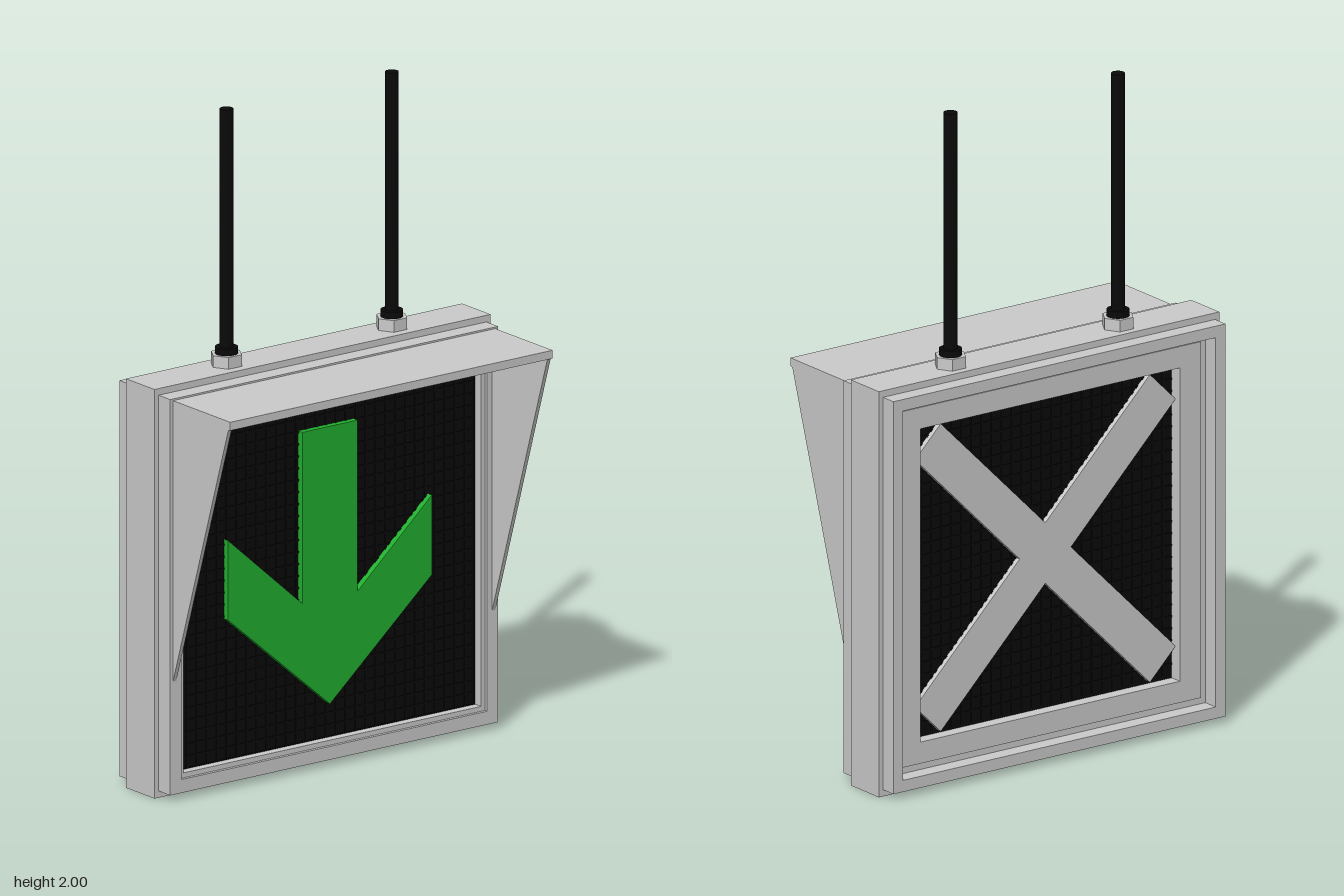
import * as THREE from 'three';
import { mergeGeometries } from 'three/addons/utils/BufferGeometryUtils.js';

const grey = new THREE.MeshStandardMaterial({ color: 0xcccccc, flatShading: true });
const black = new THREE.MeshStandardMaterial({ color: 0x0a0a0a });
const green = new THREE.MeshStandardMaterial({ color: 0x22b030 });
const MID = 0.615; // height of the housing centre

export function createModel() {
  const model = new THREE.Group();

  const add = (name, geometry, material, x = 0, y = 0, z = 0) => {
    const mesh = new THREE.Mesh(geometry, material);
    mesh.name = name;
    mesh.position.set(x, y, z);
    model.add(mesh);
    return mesh;
  };
  const box = (name, material, w, h, z0, z1, x = 0, y = MID) =>
    add(name, new THREE.BoxGeometry(w, h, z1 - z0), material, x, y, (z0 + z1) / 2);
  const polygon = (points) => new THREE.Shape(points.map(([x, y]) => new THREE.Vector2(x, y)));
  const rect = (w, h) => polygon([[-w, -h], [w, -h], [w, h], [-w, h]]);
  const extrude = (shape, depth) =>
    new THREE.ExtrudeGeometry(shape, { depth, bevelEnabled: false });

  // Rectangular ring given by outer and inner half sizes, between z0 and z1
  const frame = (name, [ow, oh], [iw, ih], z0, z1) => {
    const shape = rect(ow, oh);
    shape.holes.push(rect(iw, ih));
    return add(name, extrude(shape, z1 - z0), grey, 0, MID, z0);
  };

  // Housing: wide middle casing with a stepped frame on each face
  frame('casing', [0.61, 0.615], [0.54, 0.54], -0.205, -0.07);
  frame('frontFrame', [0.595, 0.595], [0.555, 0.555], -0.07, -0.015);
  frame('frontInnerFrame', [0.555, 0.555], [0.54, 0.54], -0.07, -0.025);
  frame('backFrame', [0.595, 0.595], [0.56, 0.56], -0.255, -0.205);
  frame('backInnerFrame', [0.54, 0.54], [0.465, 0.475], -0.21, -0.165);

  // Dark display panels on both sides, with a fine raised grid
  box('displayCore', black, 1.08, 1.08, -0.17, -0.055);
  const displayGrid = (name, half, z) => {
    const ribs = [];
    const step = 0.036;
    const count = Math.floor(half / step);
    for (let i = -count; i <= count; i++) {
      ribs.push(new THREE.BoxGeometry(0.006, half * 2, 0.004).translate(i * step, 0, 0));
      ribs.push(new THREE.BoxGeometry(half * 2, 0.006, 0.004).translate(0, i * step, 0));
    }
    add(name, mergeGeometries(ribs), black, 0, MID, z);
  };
  displayGrid('frontDisplayGrid', 0.54, -0.054);
  displayGrid('backDisplayGrid', 0.465, -0.171);

  // Green downward arrow on the front
  const arrow = polygon([
    [0, 0.18], [0.37, 0.5], [0.37, 0.74], [0.1, 0.5], [0.1, 1.015],
    [-0.1, 1.015], [-0.1, 0.5], [-0.37, 0.74], [-0.37, 0.5],
  ]);
  add('arrow', extrude(arrow, 0.02), green, 0, 0, -0.055);

  // Diagonal cross on the back
  for (const side of [-1, 1]) {
    const bar = box('crossBar', grey, 1.19, 0.13, -0.187, -0.165);
    bar.rotation.z = side * Math.PI / 4;
  }

  // Sun hood: top plate, turned-down front lip and tapering cheeks
  box('hoodTop', grey, 1.17, 0.012, -0.015, 0.255, 0, 1.199);
  box('hoodLip', grey, 1.17, 0.02, 0.245, 0.255, 0, 1.19);
  const cheek = polygon([
    [-0.015, 0.36], [0.245, 1.175], [0.255, 1.185], [0.255, 1.205], [-0.015, 1.205],
  ]);
  for (const side of [-1, 1]) {
    const mesh = add('hoodCheek', extrude(cheek, 0.012), grey, side > 0 ? 0.573 : -0.585);
    // Turn the profile so its first axis runs along z
    mesh.geometry.rotateY(-Math.PI / 2).translate(0.012, 0, 0);
  }

  // Hanging rods with hexagonal nuts and collars
  for (const x of [-0.295, 0.305]) {
    const part = (name, r, y0, y1, sides, material) =>
      add(name, new THREE.CylinderGeometry(r, r, y1 - y0, sides), material, x, (y0 + y1) / 2, -0.14);
    part('nut', 0.048, 1.23, 1.265, 6, grey).rotation.y = Math.PI / 6;
    part('collar', 0.033, 1.26, 1.285, 24, black);
    part('rod', 0.02, 1.23, 2, 24, black);
  }

  return model;
}
